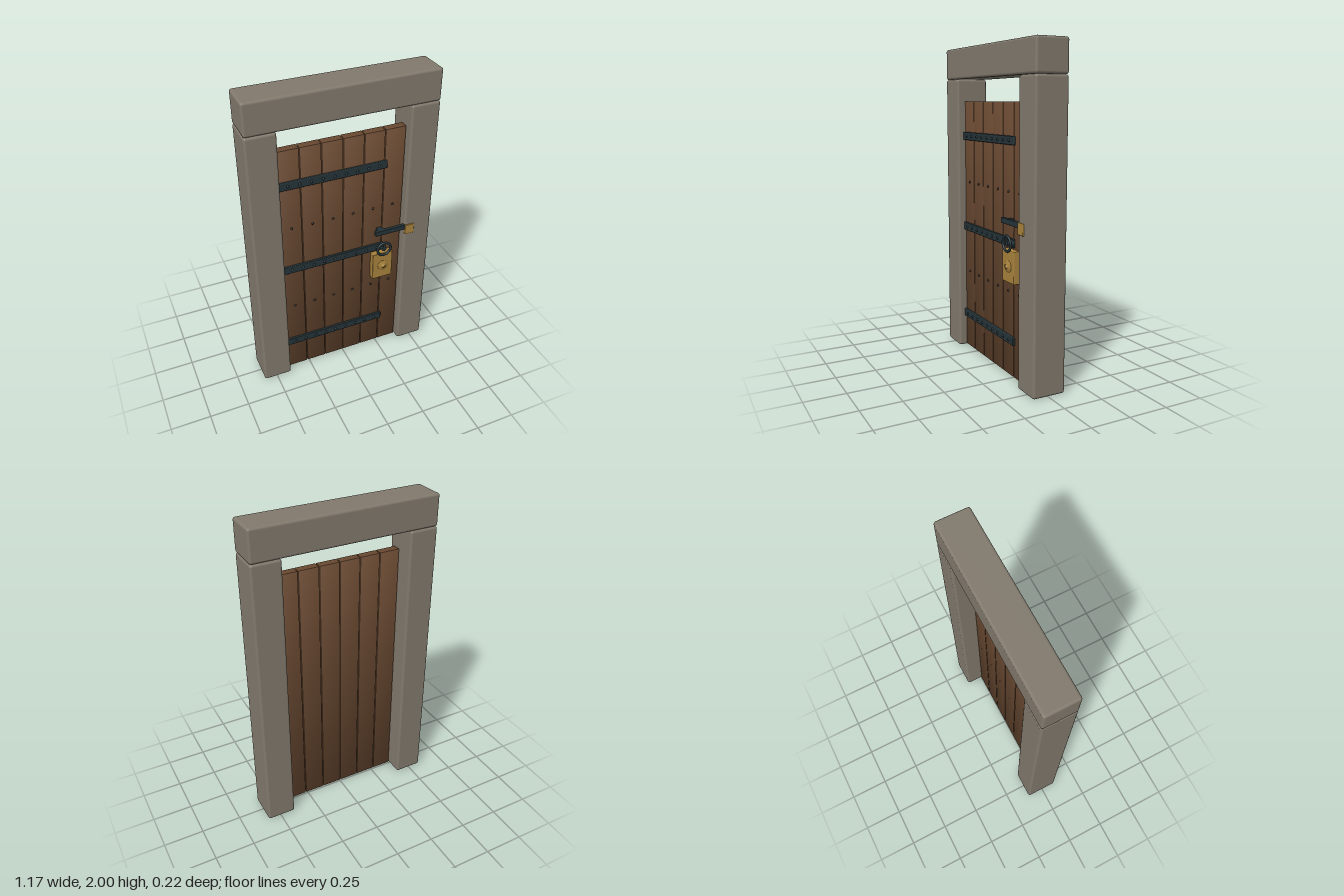
import * as THREE from 'three';
import { RoundedBoxGeometry } from 'three/addons/geometries/RoundedBoxGeometry.js';

const paint = (name, color) => {
  const m = new THREE.MeshStandardMaterial({ color });
  m.name = name;
  return m;
};

// Box from its low and high corners, with rounded edges
function block(name, material, lo, hi, radius) {
  const size = hi.map((h, i) => h - lo[i]);
  const mesh = new THREE.Mesh(new RoundedBoxGeometry(...size, 2, radius), material);
  mesh.position.set(...hi.map((h, i) => (h + lo[i]) / 2));
  mesh.name = name;
  return mesh;
}

// Plank with softened normals, so its shading rolls over towards the ends
function plankGeometry(w, h, d) {
  const g = new THREE.BoxGeometry(w, h, d);
  const p = g.attributes.position, n = g.attributes.normal;
  const v = new THREE.Vector3();
  for (let i = 0; i < p.count; i++) {
    v.fromBufferAttribute(n, i);
    v.x += 0.25 * Math.sign(p.getX(i));
    v.y += 0.6 * Math.sign(p.getY(i));
    v.z += 0.25 * Math.sign(p.getZ(i));
    v.normalize();
    n.setXYZ(i, v.x, v.y, v.z);
  }
  return g;
}

export function createModel() {
  const model = new THREE.Group();
  model.name = 'doorway';
  const stone = paint('stone', 0x81796d);
  const wood = paint('wood', 0x694931);
  const iron = paint('iron', 0x243338);
  const nailIron = paint('nailIron', 0x2b2623);
  const brass = paint('brass', 0xa8823c);

  // Stone frame
  const frame = new THREE.Group();
  frame.name = 'stoneFrame';
  frame.add(
    block('rightPost', stone, [-0.585, 0, -0.11], [-0.402, 1.803, 0.1], 0.015),
    block('leftPost', stone, [0.402, 0, -0.11], [0.585, 1.803, 0.1], 0.015),
    block('lintel', stone, [-0.585, 1.803, -0.11], [0.585, 2, 0.1], 0.015)
  );
  model.add(frame);

  // Door leaf of six planks, with two rows of nails
  const leaf = new THREE.Group();
  leaf.name = 'doorLeaf';
  const pitch = 0.1328;
  const plank = plankGeometry(pitch - 0.006, 1.65, 0.05);
  const nail = new THREE.SphereGeometry(0.008, 10, 6);
  for (let i = 0; i < 6; i++) {
    const x = (i - 2.5) * pitch;
    const board = new THREE.Mesh(plank, wood);
    board.name = 'plank';
    board.position.set(x, 0.835, 0.025);
    leaf.add(board);
    for (const y of [0.535, 1.137]) {
      const head = new THREE.Mesh(nail, nailIron);
      head.name = 'nail';
      head.position.set(x, y, 0.05);
      leaf.add(head);
    }
  }
  model.add(leaf);

  // Iron hinge straps with rivets
  const rivet = new THREE.SphereGeometry(0.009, 10, 6);
  for (const y of [0.237, 0.838, 1.438]) {
    const strap = new THREE.Group();
    strap.name = 'hingeStrap';
    strap.add(block('strapBar', iron, [-0.4, y - 0.026, 0.046], [0.28, y + 0.026, 0.064], 0.005));
    for (let i = 0; i < 9; i++) {
      const head = new THREE.Mesh(rivet, iron);
      head.name = 'rivet';
      head.position.set(-0.345 + i * 0.0715, y, 0.063);
      strap.add(head);
    }
    model.add(strap);
  }

  // Ring handle hanging from a round boss
  const handle = new THREE.Group();
  handle.name = 'ringHandle';
  const ring = new THREE.Mesh(new THREE.TorusGeometry(0.046, 0.008, 10, 32), iron);
  ring.name = 'ring';
  ring.position.z = 0.098;
  const boss = new THREE.Mesh(new THREE.CylinderGeometry(0.016, 0.022, 0.045, 16), iron);
  boss.name = 'boss';
  boss.rotation.x = Math.PI / 2;
  boss.position.z = 0.078;
  const staple = new THREE.Mesh(new THREE.BoxGeometry(0.014, 0.05, 0.014), iron);
  staple.name = 'staple';
  staple.position.set(0, 0.022, 0.094);
  handle.add(ring, boss, staple);
  handle.position.set(0.265, 0.84, 0);
  model.add(handle);

  // Brass lock plate with a domed rosette and keyhole
  const lock = new THREE.Group();
  lock.name = 'lock';
  lock.add(block('lockPlate', brass, [0.193, 0.604, 0.046], [0.333, 0.8, 0.088], 0.005));
  const rosetteProfile = [[0.036, 0], [0.036, 0.005], [0.024, 0.008], [0.012, 0.011], [0.011, 0.018], [0.006, 0.022], [0, 0.022]]
    .map(([r, y]) => new THREE.Vector2(r, y));
  const rosette = new THREE.Mesh(new THREE.LatheGeometry(rosetteProfile, 24), brass);
  rosette.name = 'rosette';
  rosette.rotation.x = Math.PI / 2;
  rosette.position.set(0.265, 0.702, 0.087);
  const keyhole = new THREE.Mesh(new THREE.CircleGeometry(0.005, 12), nailIron);
  keyhole.name = 'keyhole';
  keyhole.position.set(0.265, 0.702, 0.1095);
  lock.add(rosette, keyhole);
  model.add(lock);

  // Sliding bolt and its keeper on the post
  const latch = new THREE.Group();
  latch.name = 'latch';
  latch.add(
    block('bolt', iron, [0.2, 0.954, 0.078], [0.41, 0.988, 0.102], 0.004),
    block('boltMount', iron, [0.225, 0.958, 0.046], [0.265, 0.984, 0.085], 0.003),
    block('keeper', brass, [0.403, 0.918, 0.09], [0.468, 0.988, 0.107], 0.005)
  );
  model.add(latch);

  return model;
}
